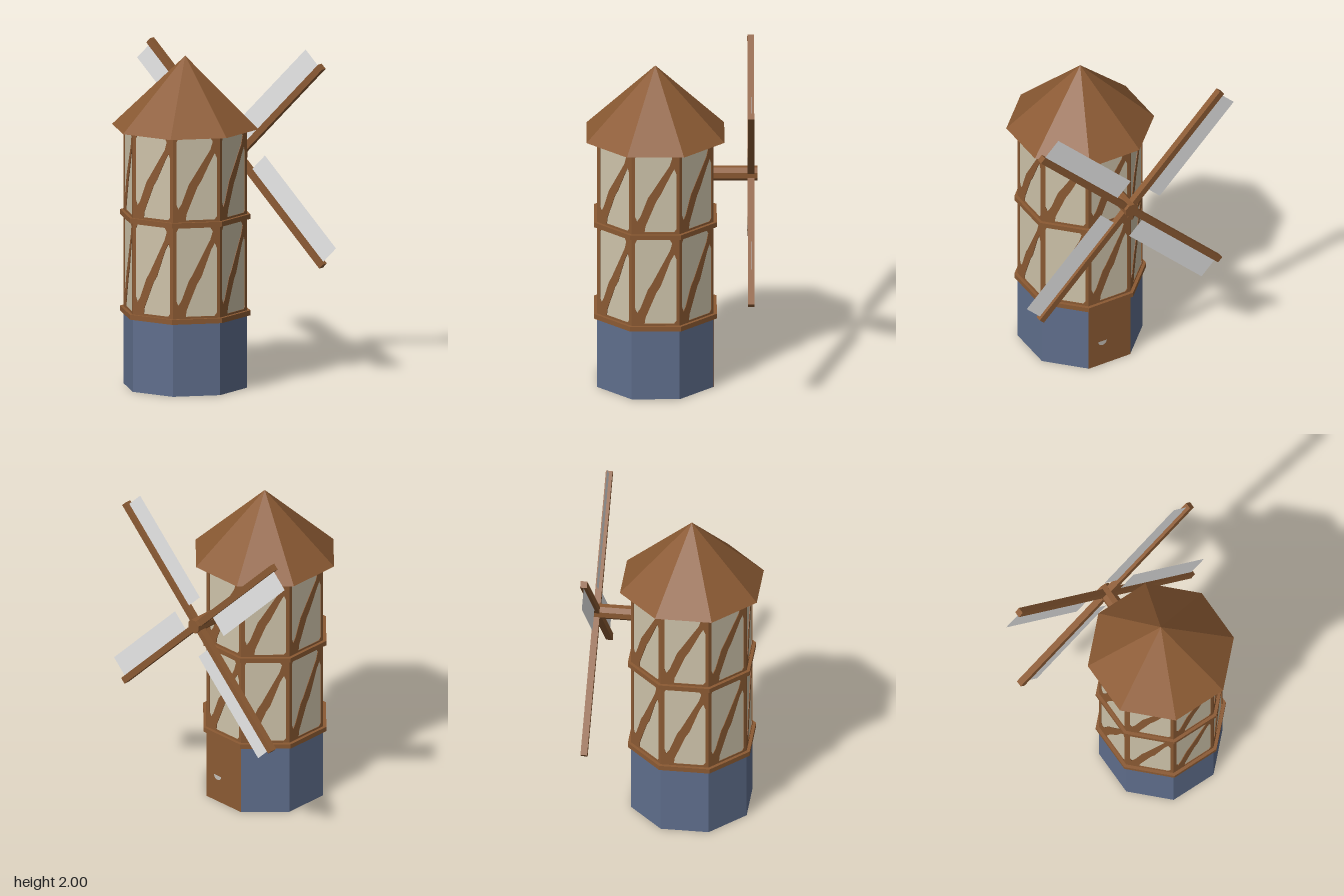
import * as THREE from 'three';

const mat = (name, color, extra = {}) => {
  const m = new THREE.MeshStandardMaterial({ color, flatShading: true, ...extra });
  m.name = name;
  return m;
};

export function createModel() {
  const model = new THREE.Group();
  const wood = mat('brown wood', 0x8b5a33);
  const plaster = mat('cream plaster', 0xcdc2a9);
  const stone = mat('blue stone', 0x5f6e8c);
  const cloth = mat('sail cloth', 0xf0f0f0, { side: THREE.DoubleSide });
  const metal = mat('grey metal', 0xc4beb6);

  const add = (parent, name, geometry, material) => {
    const mesh = new THREE.Mesh(geometry, material);
    mesh.name = name;
    parent.add(mesh);
    return mesh;
  };

  // Octagonal tower, one flat face towards each axis
  const tower = new THREE.Group();
  tower.name = 'tower';
  tower.position.set(0.01, 0, 0.1);
  model.add(tower);
  const apothem = 0.347;
  const octagon = (name, top, bottom, y0, y1, material) => {
    const k = 1 / Math.cos(Math.PI / 8);
    const g = new THREE.CylinderGeometry(top * k, bottom * k, y1 - y0, 8, 1, false, Math.PI / 8);
    return add(tower, name, g.translate(0, (y0 + y1) / 2, 0), material);
  };
  octagon('stoneBase', apothem, apothem, 0, 0.44, stone);
  octagon('plasterWall', 0.343, 0.343, 0.44, 1.57, plaster);
  octagon('lowerBand', 0.366, 0.366, 0.44, 0.47, wood);
  octagon('upperBand', 0.366, 0.366, 1.025, 1.055, wood);
  octagon('roof', 0, 0.411, 1.57, 2, wood);

  // Timber frame: a thin plate with two openings either side of a diagonal brace
  const half = apothem * Math.tan(Math.PI / 8);
  const polygon = (points, Type) => new Type(points.map(([x, y]) => new THREE.Vector2(x, y)));
  const framePlate = (h) => {
    const plate = polygon([[-half, 0], [half, 0], [half, h], [-half, h]], THREE.Shape);
    plate.holes.push(
      polygon([[-0.122, 0.11], [-0.11, 0.08], [-0.09, 0.11], [-0.045, 0.23], [-0.025, 0.26], [0.085, h - 0.08],
        [0.1, h - 0.03], [0.085, h - 0.006], [-0.11, h - 0.006], [-0.122, h - 0.03]], THREE.Path),
      polygon([[-0.065, 0.012], [0.11, 0.012], [0.124, 0.03], [0.124, h - 0.13], [0.112, h - 0.1],
        [0.09, h - 0.14], [0.03, 0.25], [0.005, 0.21], [-0.06, 0.05]], THREE.Path));
    return new THREE.ExtrudeGeometry(plate, { depth: 0.004, bevelEnabled: false });
  };
  for (const [y, h] of [[0.47, 0.555], [1.055, 0.515]]) {
    const geometry = framePlate(h).translate(0, y, 0.343);
    for (let i = 0; i < 8; i++) add(tower, 'timberFrame', geometry, wood).rotation.y = i * Math.PI / 4;
  }

  // Door on the back, with a small half-moon handle
  const door = new THREE.Group();
  door.name = 'door';
  door.rotation.y = Math.PI;
  tower.add(door);
  add(door, 'doorPanel', new THREE.BoxGeometry(half * 2, 0.44, 0.004), wood).position.set(0, 0.22, apothem);
  const handle = new THREE.CircleGeometry(0.03, 10, Math.PI, Math.PI);
  add(door, 'doorHandle', handle, metal).position.set(-0.05, 0.175, apothem + 0.004);

  // Axle behind the tower
  const axle = new THREE.CylinderGeometry(0.045, 0.045, 0.33, 8, 1, false, Math.PI / 8).rotateX(Math.PI / 2);
  add(model, 'axle', axle, wood).position.set(0.0075, 1.31, -0.345);

  // Two crossed spars, each carrying a sail on both ends
  const spar = (x, y, angle, length) => {
    const g = new THREE.Group();
    g.name = 'sailSpar';
    g.position.set(x, y, -0.47);
    g.rotation.z = angle;
    model.add(g);
    add(g, 'spar', new THREE.BoxGeometry(length * 2, 0.04, 0.04), wood);
    const inner = 0.14, outer = length - 0.017;
    for (const side of [1, -1]) {
      const sail = add(g, 'sail', new THREE.PlaneGeometry(outer - inner, 0.133), cloth);
      sail.position.set(side * (inner + outer) / 2, side * 0.0815, 0);
    }
  };
  spar(-0.004, 1.319, 3 * Math.PI / 4, 0.878);
  spar(-0.002, 1.296, Math.PI / 4, 0.863);

  return model;
}
